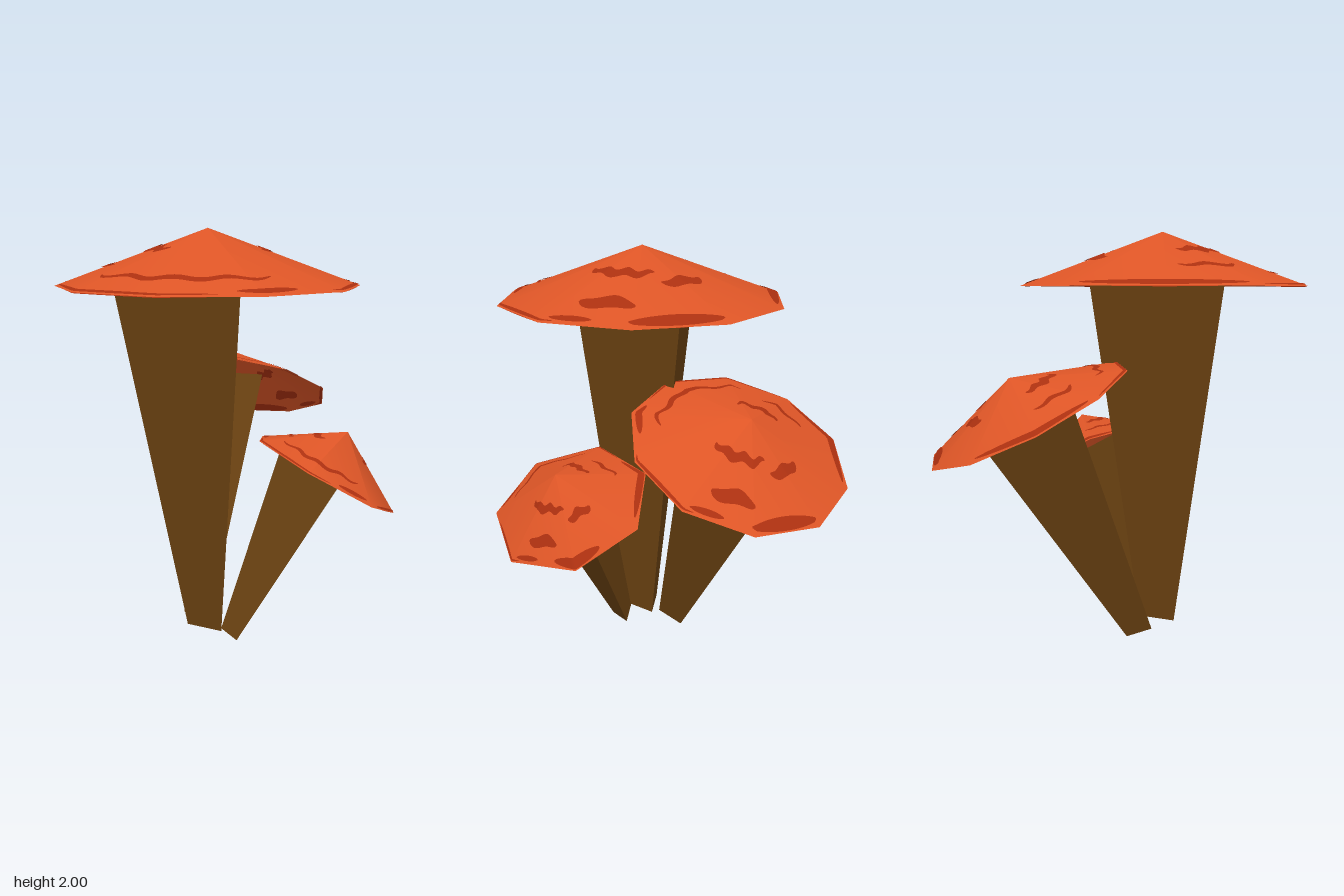
import * as THREE from 'three';

const RAD = Math.PI / 180;
const CAP_RADIUS = 0.706;

const capMat = new THREE.MeshStandardMaterial({ color: 0xdd5526, side: THREE.DoubleSide });
capMat.name = 'orange cap';
const spotMat = new THREE.MeshStandardMaterial({ color: 0xab3010, side: THREE.DoubleSide });
spotMat.name = 'dark red markings';
const stemMat = new THREE.MeshStandardMaterial({ color: 0x6a4111, side: THREE.DoubleSide });
stemMat.name = 'brown stem';

// Curved markings: start angle, end angle, place from tip (0) to rim (1), width
const MARKS = [
  [25, 98, 0.38, 0.10], [100, 137, 0.5, 0.11], [52, 82, 0.74, 0.14],
  [47, 65, 0.94, 0.06], [80, 118, 0.93, 0.12], [155, 222, 0.95, 0.08],
  [196, 237, 0.65, 0.06], [202, 270, 0.36, 0.10], [255, 345, 0.77, 0.06],
  [325, 350, 0.94, 0.06], [5, 50, 0.98, 0.03], [228, 318, 0.98, 0.03],
];

function makeGeometry(positions, index) {
  const g = new THREE.BufferGeometry();
  g.setAttribute('position', new THREE.Float32BufferAttribute(positions, 3));
  if (index) g.setIndex(index);
  g.computeVertexNormals();
  return g;
}

// Three-sided stem, wider at the top, with a small lean
function stemGeometry() {
  const top = [[-0.302, 0.327], [0.333, 0.136], [-0.15, -0.335]].map(([x, z]) => [x, 0.034, z]);
  const low = [[-0.074, 0.079], [0.106, 0.024], [-0.031, -0.104]].map(([x, z]) => [x, -1.68, z]);
  const tris = [...top, low[0], low[2], low[1]];
  for (let i = 0; i < 3; i++) {
    const j = (i + 1) % 3;
    tris.push(low[i], low[j], top[j], low[i], top[j], top[i]);
  }
  return makeGeometry(tris.flat());
}

// A tapered strip that follows the faceted cap surface
function markGeometry([a0, a1, t, width], sides, phase, height, lift) {
  const step = 360 / sides, n = Math.ceil((a1 - a0) / 2);
  const pos = [], idx = [];
  for (let i = 0; i <= n; i++) {
    const a = a0 + (a1 - a0) * i / n;
    const local = (((a - phase) % step) + step) % step - step / 2;
    const rim = CAP_RADIUS * Math.cos(step / 2 * RAD) / Math.cos(local * RAD);
    const half = width / 2 * Math.sqrt(Math.sin(Math.PI * i / n) + 0.02);
    const wobble = t < 0.9 ? 0.02 * Math.sin(i * 0.5) : 0;
    for (const s of [-1, 1]) {
      const u = Math.min(0.998, t + wobble + s * half);
      pos.push(Math.cos(a * RAD) * rim * u, height * (1 - u) + lift, -Math.sin(a * RAD) * rim * u);
    }
    if (i < n) {
      const k = i * 2;
      idx.push(k, k + 1, k + 3, k, k + 3, k + 2);
    }
  }
  return makeGeometry(pos, idx);
}

function mushroom({ name, centre, axis, scale, sides, phase, height, yaw }) {
  const group = new THREE.Group();
  group.name = name;
  const add = (geometry, material, part) => {
    const mesh = new THREE.Mesh(geometry, material);
    mesh.name = part;
    group.add(mesh);
  };

  add(stemGeometry(), stemMat, 'stem');

  // Hollow cap, open underneath
  const cap = new THREE.ConeGeometry(CAP_RADIUS, height, sides, 1, true);
  cap.rotateY((phase + 90) * RAD);
  cap.translate(0, height / 2, 0);
  add(cap, capMat, 'cap');

  // Markings on the outside and inside of the cap
  for (const mark of MARKS) {
    add(markGeometry(mark, sides, phase, height, 0.005), spotMat, 'capMarking');
    add(markGeometry(mark, sides, phase, height, -0.005), spotMat, 'innerCapMarking');
  }

  const up = new THREE.Vector3(0, 1, 0);
  const turn = new THREE.Quaternion().setFromAxisAngle(up, yaw * RAD);
  group.quaternion.setFromUnitVectors(up, new THREE.Vector3(...axis).normalize()).multiply(turn);
  group.position.set(...centre);
  group.scale.setScalar(scale);
  return group;
}

export function createModel() {
  const model = new THREE.Group();
  model.name = 'mushroomCluster';
  model.add(
    mushroom({ name: 'tallMushroom', centre: [0.074, 1.74, 0.176], axis: [0, 1, 0],
      scale: 1, sides: 10, phase: 9.3, height: 0.26, yaw: 0 }),
    mushroom({ name: 'middleMushroom', centre: [-0.315, 1.148, -0.403], axis: [-0.192, 0.895, -0.403],
      scale: 0.738, sides: 10, phase: 9.3, height: 0.26, yaw: 9.5 }),
    mushroom({ name: 'smallMushroom', centre: [0.455, 0.83, -0.235], axis: [0.285, 0.869, -0.403],
      scale: 0.55, sides: 7, phase: -7, height: 0.427, yaw: -8 }),
  );
  return model;
}
